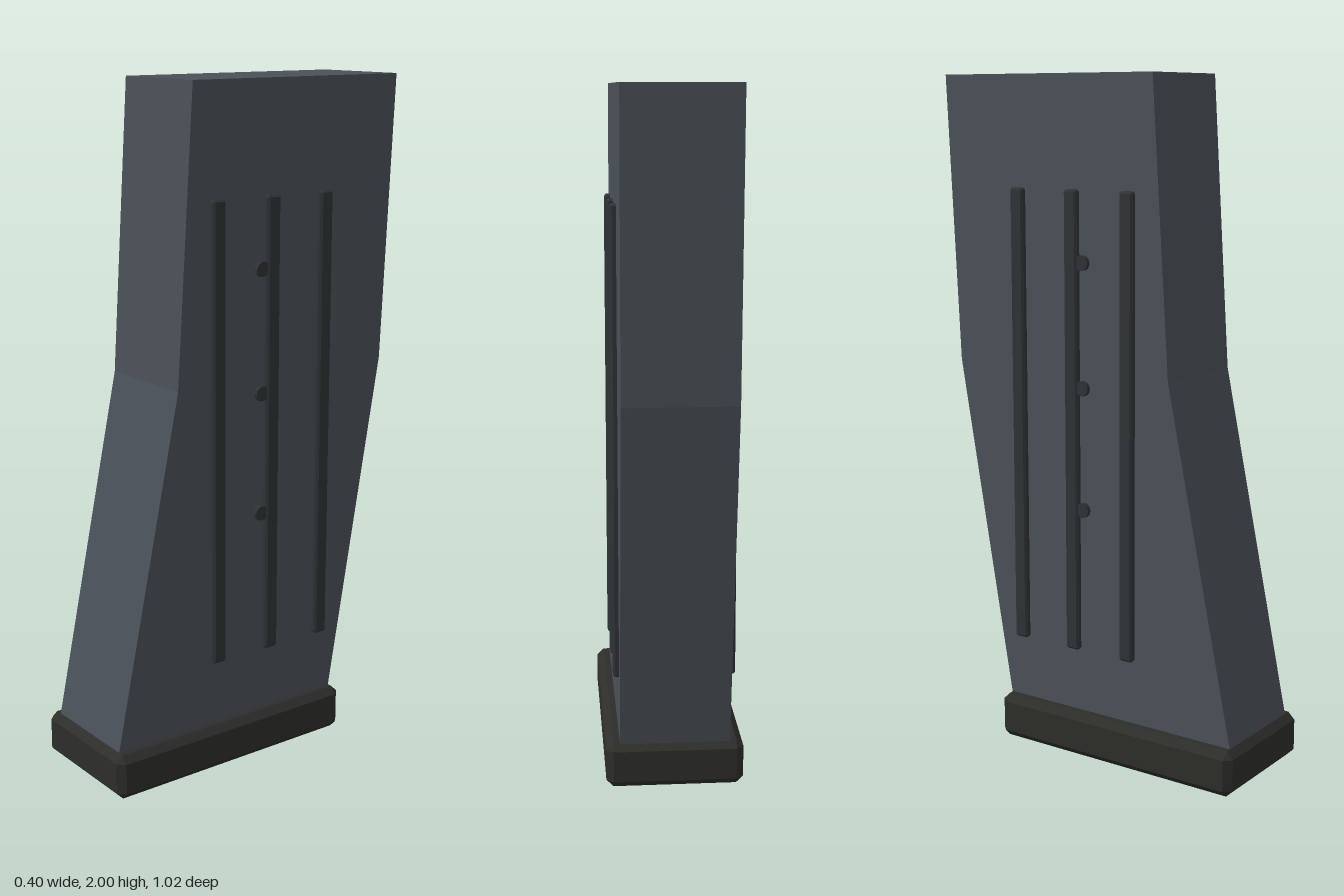
import * as THREE from 'three';
import { ConvexGeometry } from 'three/addons/geometries/ConvexGeometry.js';

const paint = (color) => new THREE.MeshStandardMaterial({ color });

// Box with every edge cut at 45 degrees
function chamferBox(w, h, d, c) {
  const points = [];
  for (const x of [-1, 1]) for (const y of [-1, 1]) for (const z of [-1, 1]) {
    for (let face = 0; face < 3; face++) {
      points.push(new THREE.Vector3(
        x * (w / 2 - (face === 0 ? 0 : c)),
        y * (h / 2 - (face === 1 ? 0 : c)),
        z * (d / 2 - (face === 2 ? 0 : c))));
    }
  }
  return new ConvexGeometry(points);
}

export function createModel() {
  const group = new THREE.Group();
  const bodyPaint = paint(0x4b5159);
  const basePaint = paint(0x2d2d2a);
  const trimPaint = paint(0x2f3336);

  const add = (name, geometry, material, x, y, z) => {
    const mesh = new THREE.Mesh(geometry, material);
    mesh.name = name;
    mesh.position.set(x, y, z);
    group.add(mesh);
    return mesh;
  };

  // Bent body: side profile given as (z, y), extruded across the width
  const profile = new THREE.Shape([
    [0.22, 2], [-0.51, 2], [-0.47, 1.16], [-0.285, 0.1], [0.497, 0.1], [0.275, 1.16],
  ].map(([z, y]) => new THREE.Vector2(z, y)));
  const body = new THREE.ExtrudeGeometry(profile, { depth: 0.32, bevelEnabled: false });
  body.translate(0, 0, -0.16).rotateY(-Math.PI / 2);
  add('body', body, bodyPaint, 0, 0, 0);

  // Base plate
  add('basePlate', chamferBox(0.4, 0.135, 0.82, 0.021), basePaint, 0, 0.0675, 0.102);

  // Ribs and round studs on both sides
  const rib = chamferBox(0.04, 1.355, 0.045, 0.006);
  const stud = new THREE.CylinderGeometry(0.022, 0.022, 0.03, 16).rotateZ(Math.PI / 2);
  for (const [side, s] of [['left', 1], ['right', -1]]) {
    for (const z of [0.142, -0.049, -0.241]) add(side + 'Rib', rib, trimPaint, s * 0.157, 1.003, z);
    for (const y of [0.755, 1.115, 1.475]) add(side + 'Stud', stud, trimPaint, s * 0.157, y, -0.013);
  }

  return group;
}
